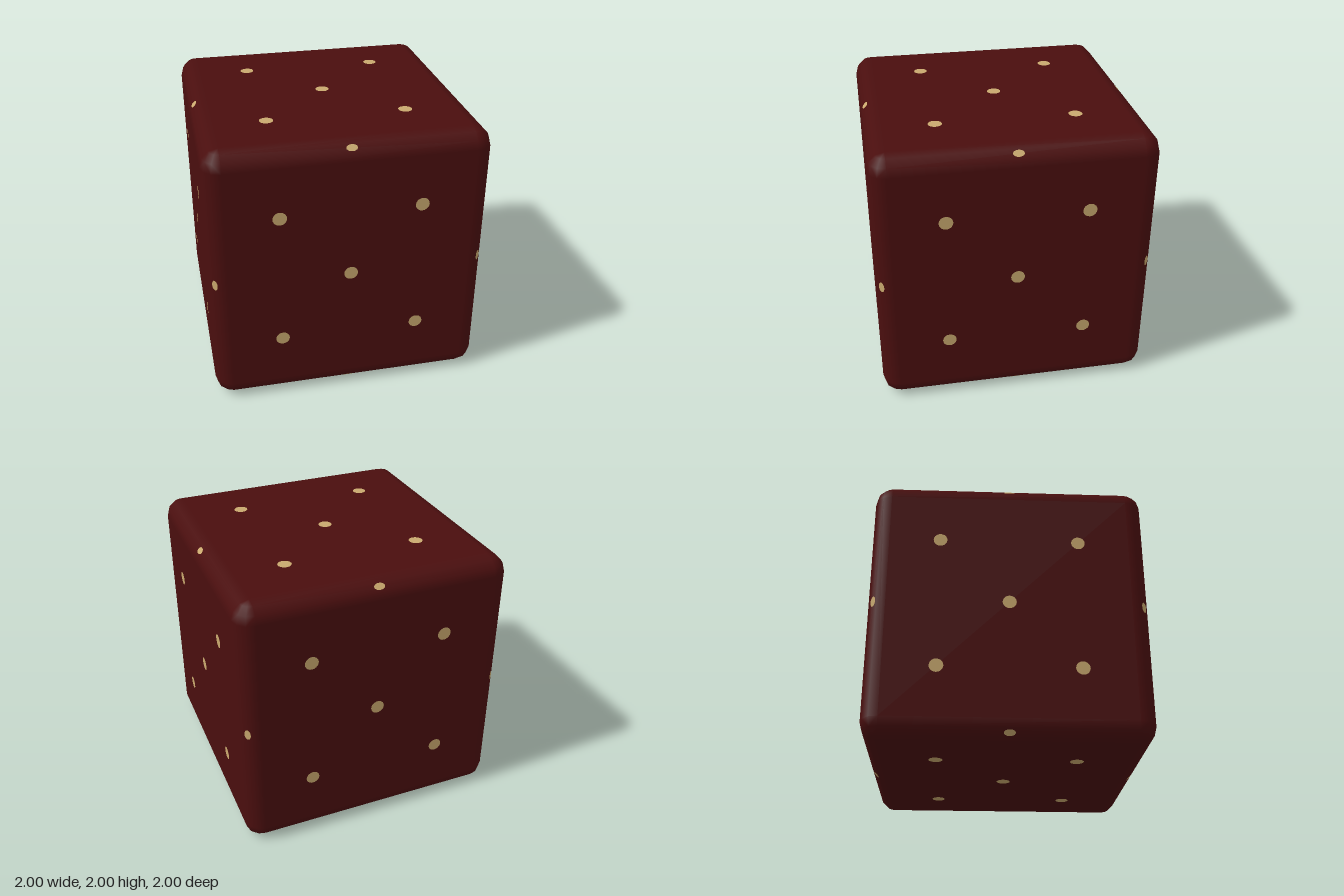
import * as THREE from 'three';
import { ConvexGeometry } from 'three/addons/geometries/ConvexGeometry.js';

const BEVEL = 0.13;
const INNER = 1 - BEVEL;
const PROUD = 0.002;

// Cube with three-step rounded edges: hull of eight sphere octants, smooth normals
function bevelledCube() {
  const points = [];
  for (const sx of [-1, 1]) for (const sy of [-1, 1]) for (const sz of [-1, 1]) {
    for (let i = 0; i <= 3; i++) for (let j = 0; j <= (i === 3 ? 0 : 3); j++) {
      const lat = i * Math.PI / 6, lon = j * Math.PI / 6;
      points.push(new THREE.Vector3(
        sx * (INNER + BEVEL * Math.cos(lat) * Math.cos(lon)),
        sy * (INNER + BEVEL * Math.sin(lat)),
        sz * (INNER + BEVEL * Math.cos(lat) * Math.sin(lon))));
    }
  }
  const geometry = new ConvexGeometry(points);
  const { position, normal } = geometry.attributes;
  const p = new THREE.Vector3(), core = new THREE.Vector3();
  for (let i = 0; i < position.count; i++) {
    p.fromBufferAttribute(position, i);
    core.copy(p).clampScalar(-INNER, INNER);
    p.sub(core).normalize();
    normal.setXYZ(i, p.x, p.y, p.z);
  }
  return geometry;
}

export function createModel() {
  const model = new THREE.Group();
  const red = new THREE.MeshStandardMaterial({ name: 'darkRed', color: 0x4a0e0e });
  const gold = new THREE.MeshStandardMaterial({ name: 'paleGold', color: 0xc9a96e });

  const body = new THREE.Mesh(bevelledCube(), red);
  body.name = 'cubeBody';
  body.position.y = 1;
  model.add(body);

  // Dots are flat discs whose local z points out of the surface
  const disc = new THREE.CircleGeometry(0.05, 20);
  const dots = new THREE.Group();
  dots.name = 'dots';
  dots.position.y = 1;
  model.add(dots);

  function addDot(name, along, across, out, position, sizeAlong = 1, sizeAcross = 1) {
    const dot = new THREE.Mesh(disc, gold);
    dot.name = name;
    dot.quaternion.setFromRotationMatrix(new THREE.Matrix4().makeBasis(along, across, out));
    dot.scale.set(sizeAlong, sizeAcross, 1);
    dot.position.copy(position);
    dots.add(dot);
  }

  const axes = [0, 1, 2].map(i => new THREE.Vector3().setComponent(i, 1));
  const spots = [[0, 0], [-0.5, -0.5], [-0.5, 0.5], [0.5, -0.5], [0.5, 0.5]];
  // Distance from the centre to the middle facet of a rounded edge
  const edgeReach = INNER * Math.SQRT2 + BEVEL * Math.cos(Math.PI / 12) + PROUD;

  for (let i = 0; i < 3; i++) {
    const u = axes[(i + 1) % 3], v = axes[(i + 2) % 3];

    // Five dots on each of the two faces along this axis
    for (const side of [-1, 1]) {
      const out = axes[i].clone().multiplyScalar(side);
      const across = out.clone().cross(u);
      for (const [a, b] of spots) {
        const position = out.clone().multiplyScalar(1 + PROUD)
          .addScaledVector(u, a).addScaledVector(v, b);
        addDot('faceDot', u, across, out, position);
      }
    }

    // One small oval dot halfway along each of the four edges on this axis
    for (const su of [-1, 1]) for (const sv of [-1, 1]) {
      const out = u.clone().multiplyScalar(su).addScaledVector(v, sv).normalize();
      const across = out.clone().cross(axes[i]);
      addDot('edgeDot', axes[i], across, out, out.clone().multiplyScalar(edgeReach), 0.8, 0.5);
    }
  }
  return model;
}
